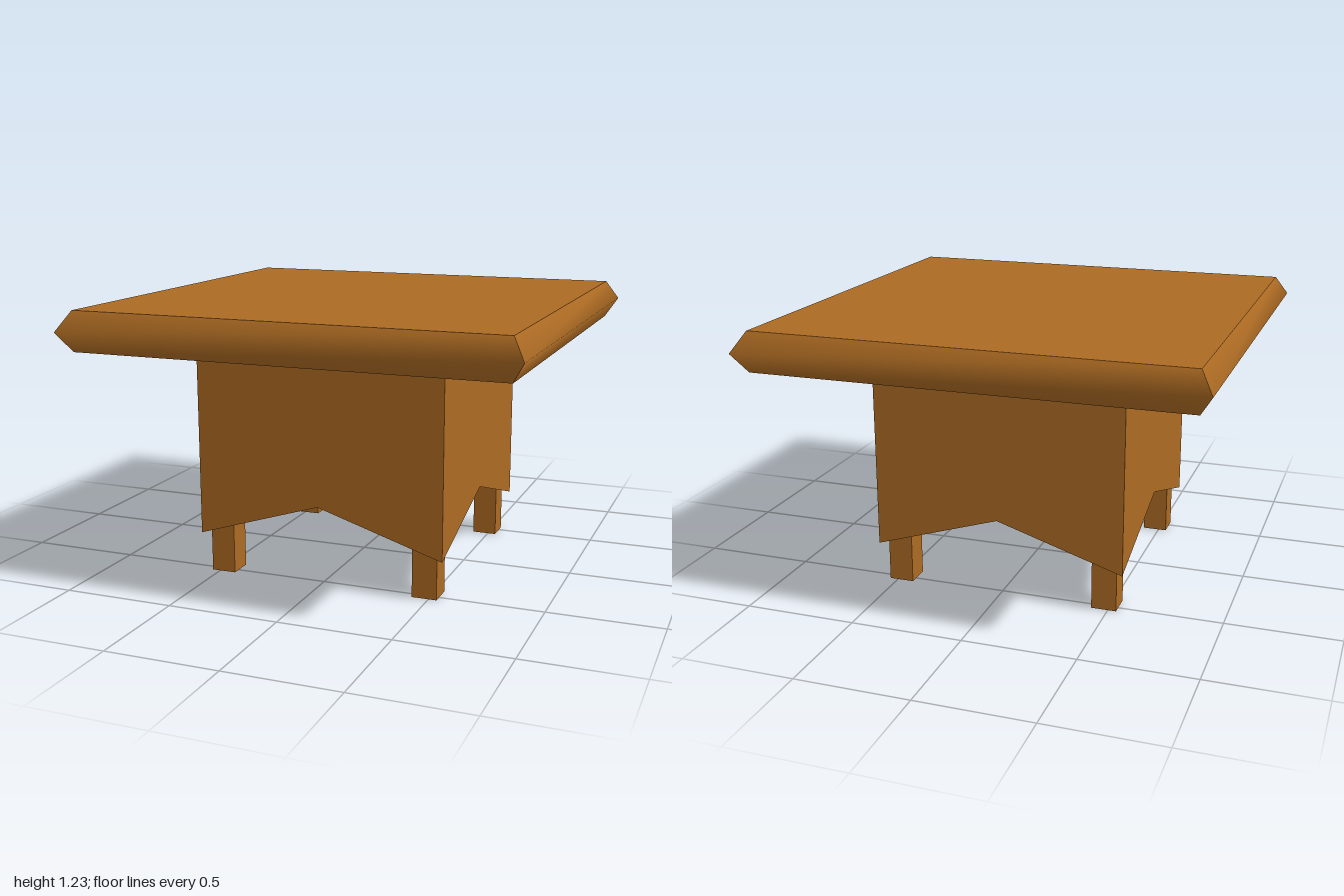
import * as THREE from 'three';

const wood = new THREE.MeshStandardMaterial({ color: 0xad6b23, side: THREE.DoubleSide });
wood.name = 'warm wood';

const SKIRT = 0.57, TOP_LOW = 1.05, TOP_MID = 1.138, TOP_HIGH = 1.227, INNER = 0.945;

function add(parent, name, geometry) {
  const mesh = new THREE.Mesh(geometry, wood);
  mesh.name = name;
  parent.add(mesh);
  return mesh;
}

// One edge of the table top: pointed in section, shaded round, mitred at both ends
function edgeGeometry() {
  const points = [[INNER, TOP_LOW], [1, TOP_MID], [INNER, TOP_HIGH]]
    .flatMap(([r, y]) => [-r, y, r, r, y, r]);
  const g = new THREE.BufferGeometry();
  g.setAttribute('position', new THREE.Float32BufferAttribute(points, 3));
  g.setIndex([0, 1, 3, 0, 3, 2, 2, 3, 5, 2, 5, 4]);
  g.computeVertexNormals();
  return g;
}

// Thin skirt panel with a peaked lower edge
function panelGeometry() {
  const s = new THREE.Shape();
  s.moveTo(-SKIRT, 0.185);
  s.lineTo(0, 0.365);
  s.lineTo(SKIRT, 0.185);
  s.lineTo(SKIRT, TOP_LOW);
  s.lineTo(-SKIRT, TOP_LOW);
  return new THREE.ShapeGeometry(s).translate(0, 0, SKIRT);
}

// Short square leg, hollow and open underneath
function legGeometry() {
  const g = new THREE.BoxGeometry(0.112, 0.262, 0.112).translate(0.481, 0.131, 0.481);
  const index = Array.from(g.index.array);
  index.splice(18, 6); // drop the bottom face
  g.setIndex(index);
  g.clearGroups();
  return g;
}

export function createModel() {
  const table = new THREE.Group();
  table.name = 'table';

  // Flat faces of the table top
  const size = INNER * 2;
  add(table, 'tableTopSurface',
    new THREE.PlaneGeometry(size, size).rotateX(-Math.PI / 2).translate(0, TOP_HIGH, 0));
  add(table, 'tableTopUnderside',
    new THREE.PlaneGeometry(size, size).rotateX(Math.PI / 2).translate(0, TOP_LOW, 0));

  // Edge, skirt panel and leg repeat on all four sides
  const edge = edgeGeometry(), panel = panelGeometry(), leg = legGeometry();
  for (let i = 0; i < 4; i++) {
    const side = new THREE.Group();
    side.name = 'side' + (i + 1);
    side.rotation.y = i * Math.PI / 2;
    add(side, 'tableTopEdge', edge);
    add(side, 'skirtPanel', panel);
    add(side, 'leg', leg);
    table.add(side);
  }
  return table;
}
